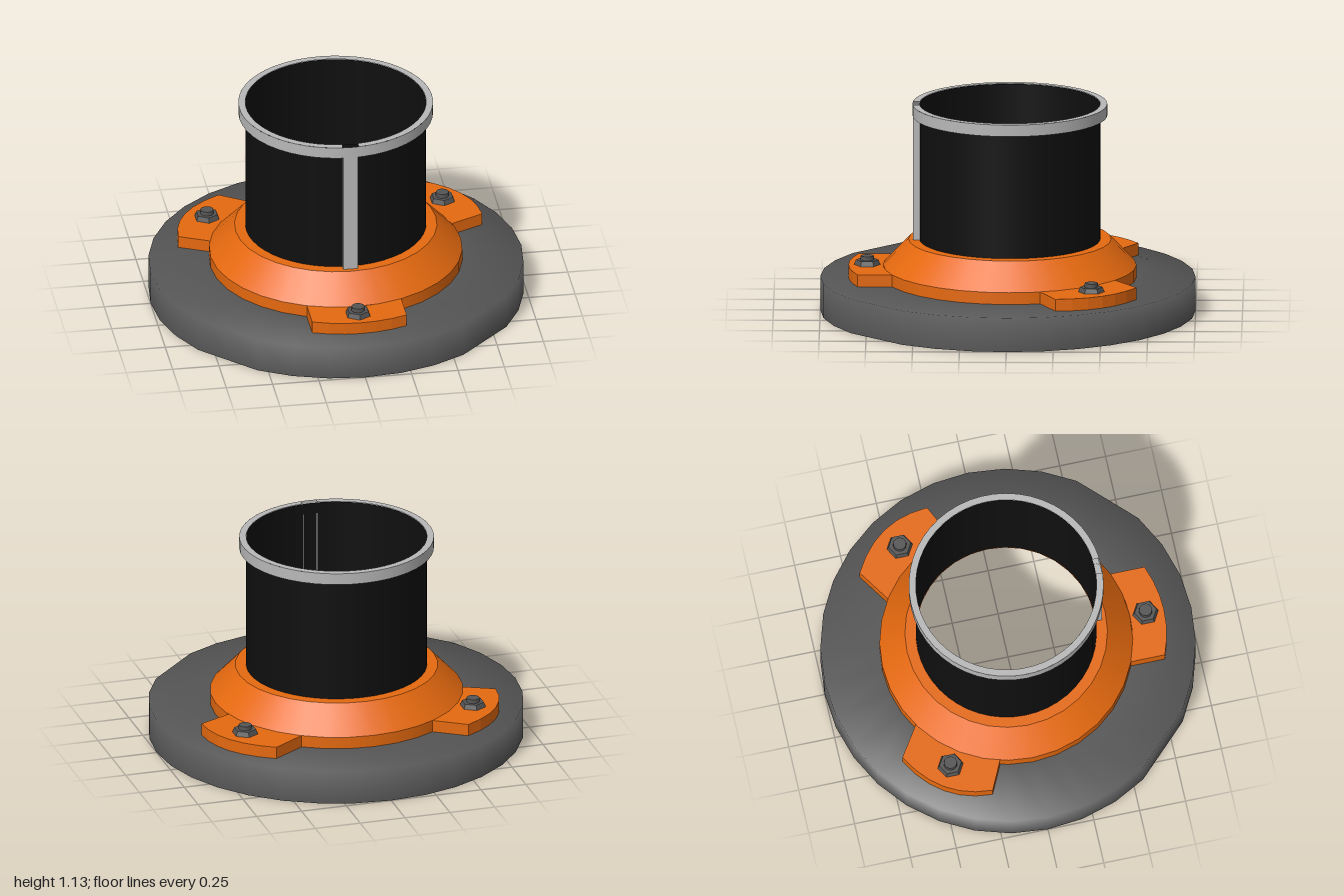
import * as THREE from 'three';

export function createModel() {
  const model = new THREE.Group();
  const mat = (name, color) => {
    const m = new THREE.MeshStandardMaterial({ color, side: THREE.DoubleSide });
    m.name = name;
    return m;
  };
  const grey = mat('dark grey', 0x555555);
  const orange = mat('orange', 0xe5690f);
  const black = mat('black', 0x0f0f0f);
  const silver = mat('light grey', 0xb8b8b8);

  const add = (name, geo, material, x = 0, y = 0, z = 0, parent = model) => {
    const mesh = new THREE.Mesh(geo, material);
    mesh.name = name;
    mesh.position.set(x, y, z);
    parent.add(mesh);
    return mesh;
  };
  const lathe = (pts, segments = 32, start = 0, length = Math.PI * 2) =>
    new THREE.LatheGeometry(pts.map(p => new THREE.Vector2(...p)), segments, start, length);

  // Base: hollow disc, open below, with two short flats at the front corners
  const base = lathe([[1, 0], [1, 0.185], [0.66, 0.185]]);
  const pos = base.attributes.position;
  for (let i = 0; i < pos.count; i++) {
    const x = pos.getX(i), z = pos.getZ(i);
    if (Math.hypot(x, z) > 0.9 && z > 0 && Math.abs(Math.abs(x) - z) < 0.01) {
      pos.setX(i, x * 0.981);
      pos.setZ(i, z * 0.981);
    }
  }
  add('base', base, grey);

  // Sloping collar with an upright foot and a narrow flat top
  const cz = -0.01;
  add('collarFoot', lathe([[0.675, 0.185], [0.675, 0.25]]), orange, 0, 0, cz);
  add('collarSlope', lathe([[0.675, 0.25], [0.54, 0.392]]), orange, 0, 0, cz);
  add('collarTop', lathe([[0.54, 0.392], [0.48, 0.392]]), orange, 0, 0, cz);

  // Mounting tabs: corners as [x, z], with curved outer and inner edges
  const addTab = (name, [a, b, c, d], outer, inner, bolt) => {
    const s = new THREE.Shape();
    s.moveTo(a[0], -a[1]);
    s.quadraticCurveTo(outer[0], -outer[1], b[0], -b[1]);
    s.lineTo(c[0], -c[1]);
    s.quadraticCurveTo(inner[0], -inner[1], d[0], -d[1]);
    s.closePath();
    const geo = new THREE.ExtrudeGeometry(s, { depth: 0.065, bevelEnabled: false, curveSegments: 6 });
    geo.rotateX(-Math.PI / 2);
    const group = new THREE.Group();
    group.name = name;
    model.add(group);
    add('tab', geo, orange, 0, 0.185, 0, group);
    // Hex nut with a stud through it
    const nut = new THREE.CylinderGeometry(0.06, 0.07, 0.026, 6).toNonIndexed();
    nut.computeVertexNormals();
    add('nut', nut, grey, bolt[0], 0.263, bolt[1], group);
    add('stud', new THREE.CylinderGeometry(0.035, 0.037, 0.03, 10), grey, bolt[0], 0.283, bolt[1], group);
  };
  addTab('frontTab', [[-0.255, 0.8], [0.255, 0.8], [0.255, 0.61], [-0.255, 0.61]],
    [0, 0.9], [0, 0.72], [0, 0.75]);
  for (const side of [1, -1]) {
    const m = ([x, z]) => [side > 0 ? x : 0.02 - x, z];
    addTab(side > 0 ? 'leftBackTab' : 'rightBackTab',
      [[0.545, -0.69], [0.83, -0.26], [0.64, -0.17], [0.37, -0.575]].map(m),
      m([0.82, -0.545]), m([0.605, -0.4]), m([0.645, -0.45]));
  }

  // Open tube
  add('tube', lathe([[0.482, 0.392], [0.482, 1.128]], 48), black, 0, 0, cz);

  // Rim around the tube, its top ring open above the seam channel
  add('rimUnderside', lathe([[0.482, 1.067], [0.519, 1.067]], 48), silver, 0, 0, cz);
  add('rimWall', lathe([[0.519, 1.067], [0.519, 1.13]], 48), silver, 0, 0, cz);
  const gap = 0.085;
  add('rimTop', lathe([[0.519, 1.13], [0.482, 1.13]], 48, gap, Math.PI * 2 - 2 * gap),
    silver, 0, 0, cz);

  // Seam channel down the front
  add('seamFace', new THREE.BoxGeometry(0.08, 0.675, 0.006), silver, 0, 0.73, 0.502);
  for (const x of [-0.038, 0.038]) {
    add('seamSide', new THREE.BoxGeometry(0.004, 0.675, 0.035), silver, x, 0.73, 0.486);
  }
  return model;
}
